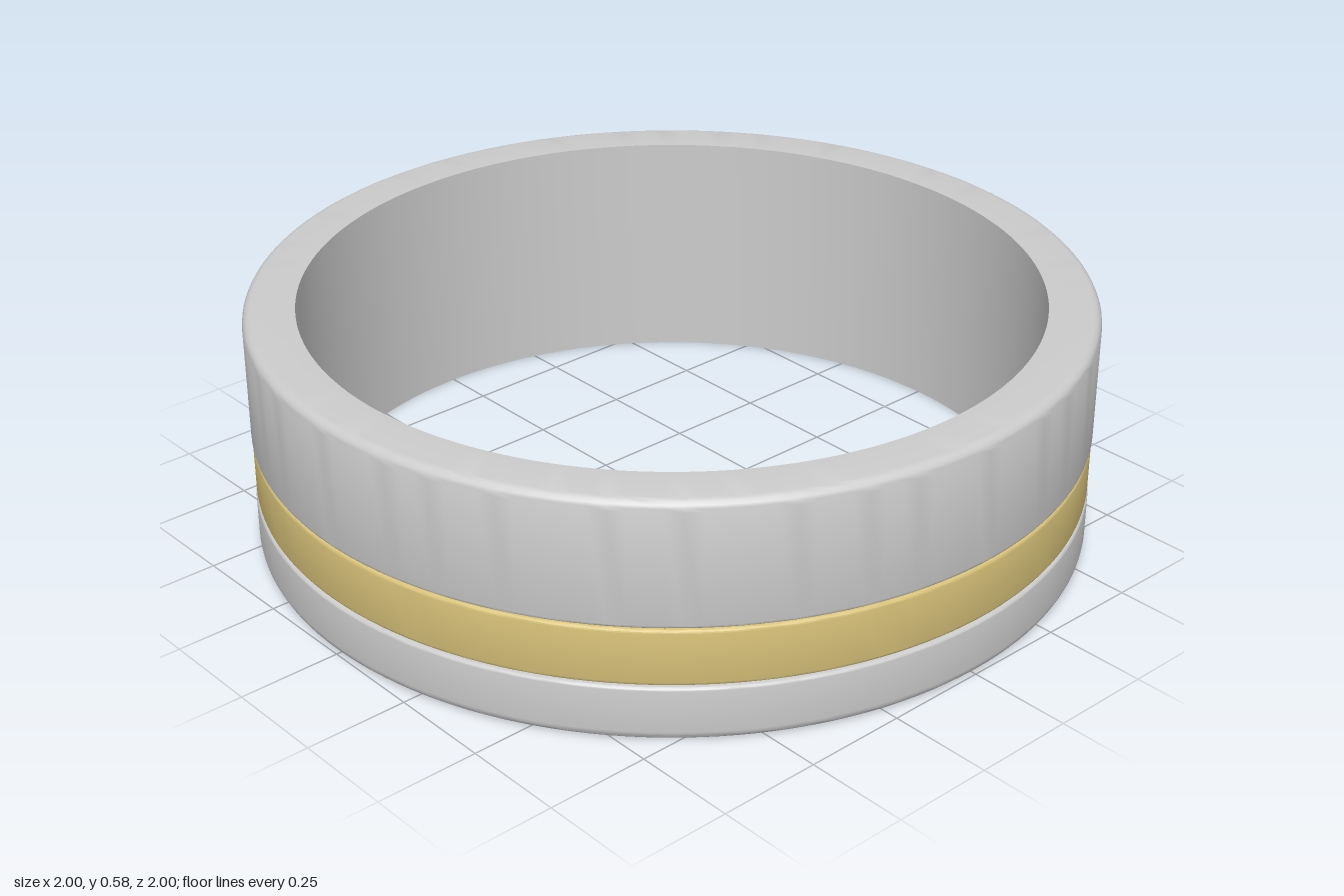
import * as THREE from 'three';
import { toCreasedNormals } from 'three/addons/utils/BufferGeometryUtils.js';

const OUTER = 1, INNER = 0.877, HEIGHT = 0.585, FLOOR = 0.96;
const INLAY_BOTTOM = 0.14, INLAY_TOP = 0.278;

// Rounded outer corner: quarter arc from angle a0 (degrees), counter-clockwise.
function corner(y, r, a0, steps = 5, outer = OUTER) {
  const points = [];
  for (let i = 0; i <= steps; i++) {
    const a = THREE.MathUtils.degToRad(a0 + (90 * i) / steps);
    points.push(new THREE.Vector2(outer - r + r * Math.cos(a), y + r * Math.sin(a)));
  }
  return points;
}

// Revolve a closed cross-section, keeping its sharp edges.
function ring(name, profile, color) {
  const lathe = new THREE.LatheGeometry([...profile, profile[0].clone()], 160);
  const geometry = toCreasedNormals(lathe, THREE.MathUtils.degToRad(32));
  const mesh = new THREE.Mesh(geometry, new THREE.MeshStandardMaterial({ color }));
  mesh.name = name;
  return mesh;
}

export function createModel() {
  const group = new THREE.Group();
  group.name = 'ring';
  const v = (r, y) => new THREE.Vector2(r, y);
  const edge = 0.025, lip = 0.008, gap = 0.004;

  // Main band with rounded rims and a channel for the inlay
  group.add(ring('band', [
    v(INNER, 0),
    ...corner(edge, edge, -90),
    ...corner(INLAY_BOTTOM - gap - lip, lip, 0, 4),
    v(FLOOR, INLAY_BOTTOM - gap),
    v(FLOOR, INLAY_TOP + gap),
    ...corner(INLAY_TOP + gap + lip, lip, -90, 4),
    ...corner(HEIGHT - edge, edge, 0),
    v(INNER, HEIGHT),
  ], 0xcccccc));

  // Gold inlay strip set in the channel
  const face = OUTER - 0.002;
  group.add(ring('inlay', [
    v(FLOOR - 0.005, INLAY_BOTTOM),
    ...corner(INLAY_BOTTOM + lip, lip, -90, 4, face),
    ...corner(INLAY_TOP - lip, lip, 0, 4, face),
    v(FLOOR - 0.005, INLAY_TOP),
  ], 0xd6c078));

  return group;
}
